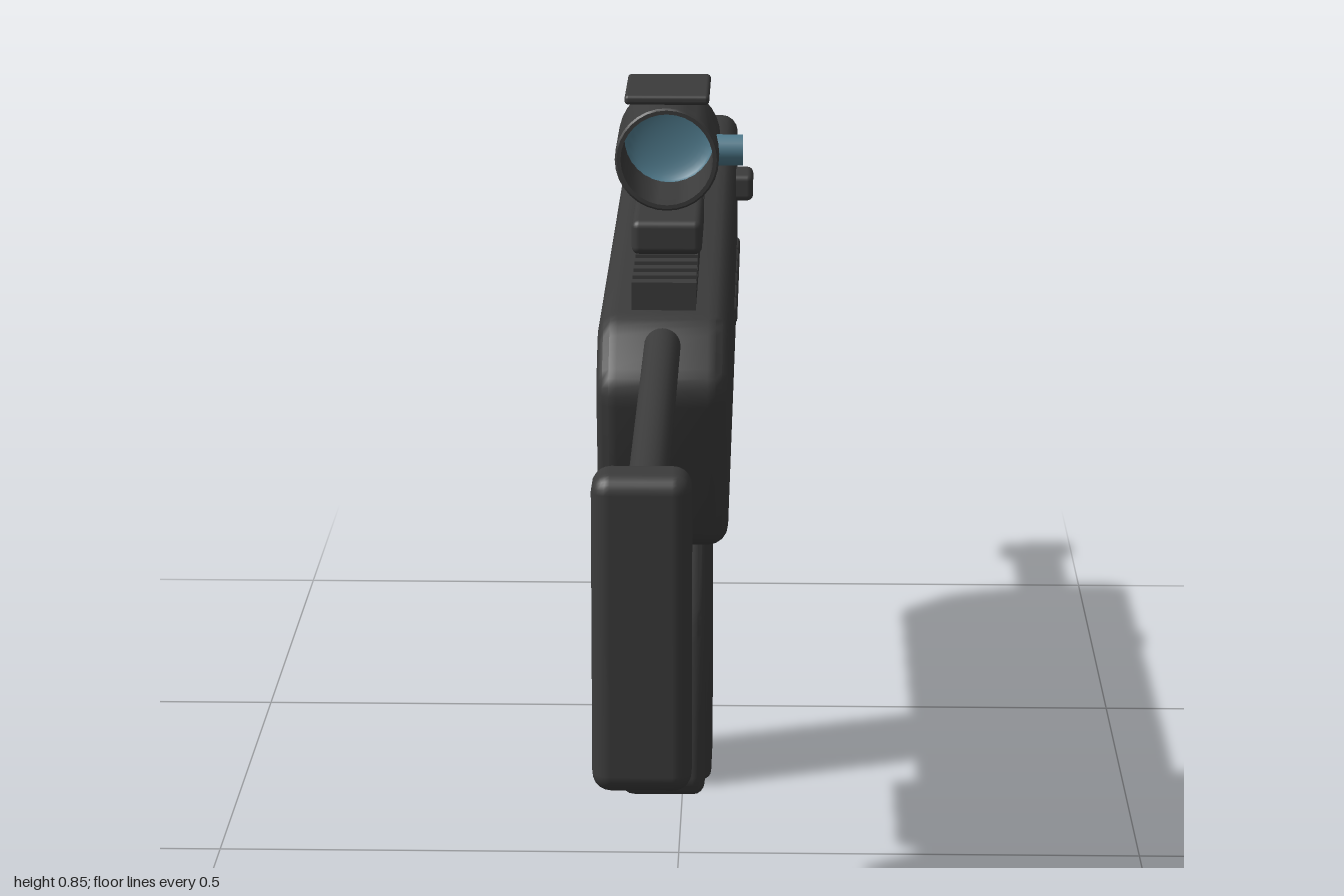
import * as THREE from 'three';
import { toCreasedNormals } from 'three/addons/utils/BufferGeometryUtils.js';
import { RoundedBoxGeometry } from 'three/addons/geometries/RoundedBoxGeometry.js';

const CX = -0.01; // centre plane of the main parts

const dark = new THREE.MeshStandardMaterial({ color: 0x3b3b3b });
dark.name = 'dark grey';
const glass = new THREE.MeshStandardMaterial({ color: 0x4f7a8c, side: THREE.DoubleSide });
glass.name = 'blue glass';

// closed polygon in (z, y) with every corner rounded by r
function roundedShape(points, r) {
  const shape = new THREE.Shape();
  const v = points.map(p => new THREE.Vector2(...p));
  const n = v.length;
  v.forEach((p, i) => {
    const toward = q => {
      const d = q.clone().sub(p);
      return p.clone().addScaledVector(d.clone().normalize(), Math.min(r, d.length() * 0.45));
    };
    const a = toward(v[(i + n - 1) % n]);
    const b = toward(v[(i + 1) % n]);
    if (i === 0) shape.moveTo(a.x, a.y); else shape.lineTo(a.x, a.y);
    shape.quadraticCurveTo(p.x, p.y, b.x, b.y);
  });
  shape.closePath();
  return shape;
}

// side profile extruded across x, with bevelled edges
function slab(points, width, corner, bevel) {
  const geo = new THREE.ExtrudeGeometry(roundedShape(points, corner), {
    depth: width - 2 * bevel, curveSegments: 4,
    bevelEnabled: bevel > 0, bevelSize: bevel, bevelThickness: bevel,
    bevelOffset: -bevel, bevelSegments: 4,
  });
  geo.translate(0, 0, -(width - 2 * bevel) / 2).rotateY(-Math.PI / 2);
  return toCreasedNormals(geo, 0.6);
}

export function createModel() {
  const model = new THREE.Group();

  function add(name, geo, x, y, z, material = dark) {
    const mesh = new THREE.Mesh(geo, material);
    mesh.name = name;
    mesh.position.set(x, y, z);
    model.add(mesh);
    return mesh;
  }
  const box = (w, h, d, r) => new RoundedBoxGeometry(w, h, d, 3, r);
  const rod = (r, len) => new THREE.CylinderGeometry(r, r, len, 24).rotateX(Math.PI / 2);
  // ring-shaped tube along z, from [radius, z] pairs
  const turned = pts => toCreasedNormals(new THREE.LatheGeometry(
    pts.map(p => new THREE.Vector2(...p)), 32).rotateX(Math.PI / 2), 0.6);

  // body shell
  add('body', slab([
    [0.322, 0.605], [0.265, 0.664], [-0.8, 0.664], [-0.8, 0.512], [-0.755, 0.426], [0.272, 0.426],
  ], 0.13, 0.022, 0.02), CX, 0, 0);

  // grip and magazine
  add('grip', slab([
    [0.22, 0.44], [0.1, 0.44], [0.147, 0.285], [0.147, 0.21], [0.187, 0.146], [0.29, 0.17], [0.258, 0.34],
  ], 0.084, 0.018, 0.012), CX, 0, 0);
  add('magazine', slab([
    [-0.21, 0.45], [-0.35, 0.45], [-0.354, 0], [-0.215, 0.006],
  ], 0.084, 0.012, 0.01), CX, 0, 0);

  // trigger and its guard
  add('triggerGuard', slab([
    [0.1, 0.435], [0.1, 0.368], [0.073, 0.342], [-0.122, 0.342], [-0.122, 0.435],
    [-0.112, 0.435], [-0.112, 0.352], [0.069, 0.352], [0.09, 0.372], [0.09, 0.435],
  ], 0.035, 0.002, 0), CX, 0, 0);
  add('trigger', slab([
    [-0.085, 0.435], [-0.094, 0.405], [-0.083, 0.372], [-0.09, 0.37], [-0.106, 0.402], [-0.106, 0.435],
  ], 0.022, 0.006, 0.002), CX, 0, 0);

  // stock: two rods and a shoulder plate
  for (const y of [0.64, 0.487]) add('stockRod', rod(0.018, 0.68), CX, y, 0.63);
  add('shoulderPlate', box(0.084, 0.278, 0.052, 0.016), CX, 0.565, 0.974);

  // barrel and hollow muzzle
  add('barrel', rod(0.026, 0.18), CX, 0.596, -0.86);
  add('muzzle', turned([
    [0, -0.955], [0.024, -0.955], [0.024, -1], [0.034, -1], [0.038, -0.996],
    [0.038, -0.944], [0.034, -0.94], [0, -0.94],
  ].reverse()), CX, 0.596, 0);

  // toothed top rail
  add('rail', new THREE.BoxGeometry(0.064, 0.016, 0.615), CX, 0.671, -0.068);
  for (let i = 0; i < 20; i++) {
    add('railTooth', new THREE.BoxGeometry(0.064, 0.014, 0.016), CX, 0.685, 0.231 - i * 0.0315);
  }

  // optical sight
  add('sightBase', box(0.072, 0.036, 0.138, 0.008), CX, 0.709, 0.045);
  add('sightTube', turned([
    [0.047, 0.107], [0.051, 0.107], [0.053, 0.105], [0.053, -0.018],
    [0.051, -0.02], [0.047, -0.02], [0.047, 0.107],
  ].reverse()), CX, 0.789, 0);
  add('sightHood', box(0.086, 0.01, 0.125, 0.004), CX, 0.85, 0.043);
  const lens = add('lens', new THREE.SphereGeometry(0.0475, 28, 10, 0, Math.PI * 2, 0, Math.PI / 2)
    .rotateX(-Math.PI / 2).scale(1, 1, 0.3), CX, 0.789, -0.006);
  lens.material = glass;
  add('sightKnob', new THREE.CylinderGeometry(0.016, 0.016, 0.03, 20).rotateZ(Math.PI / 2),
    0.052, 0.79, 0.058, glass);

  // side button
  add('sideButton', box(0.032, 0.031, 0.058, 0.007), 0.059, 0.622, -0.575);

  // raised vents on both sides
  for (const side of [-1, 1]) {
    for (let i = 0; i < 6; i++) {
      add('sideVent', box(0.012, 0.021, 0.05, 0.005), CX + side * 0.0625, 0.51, -0.405 - i * 0.063);
    }
  }

  return model;
}
